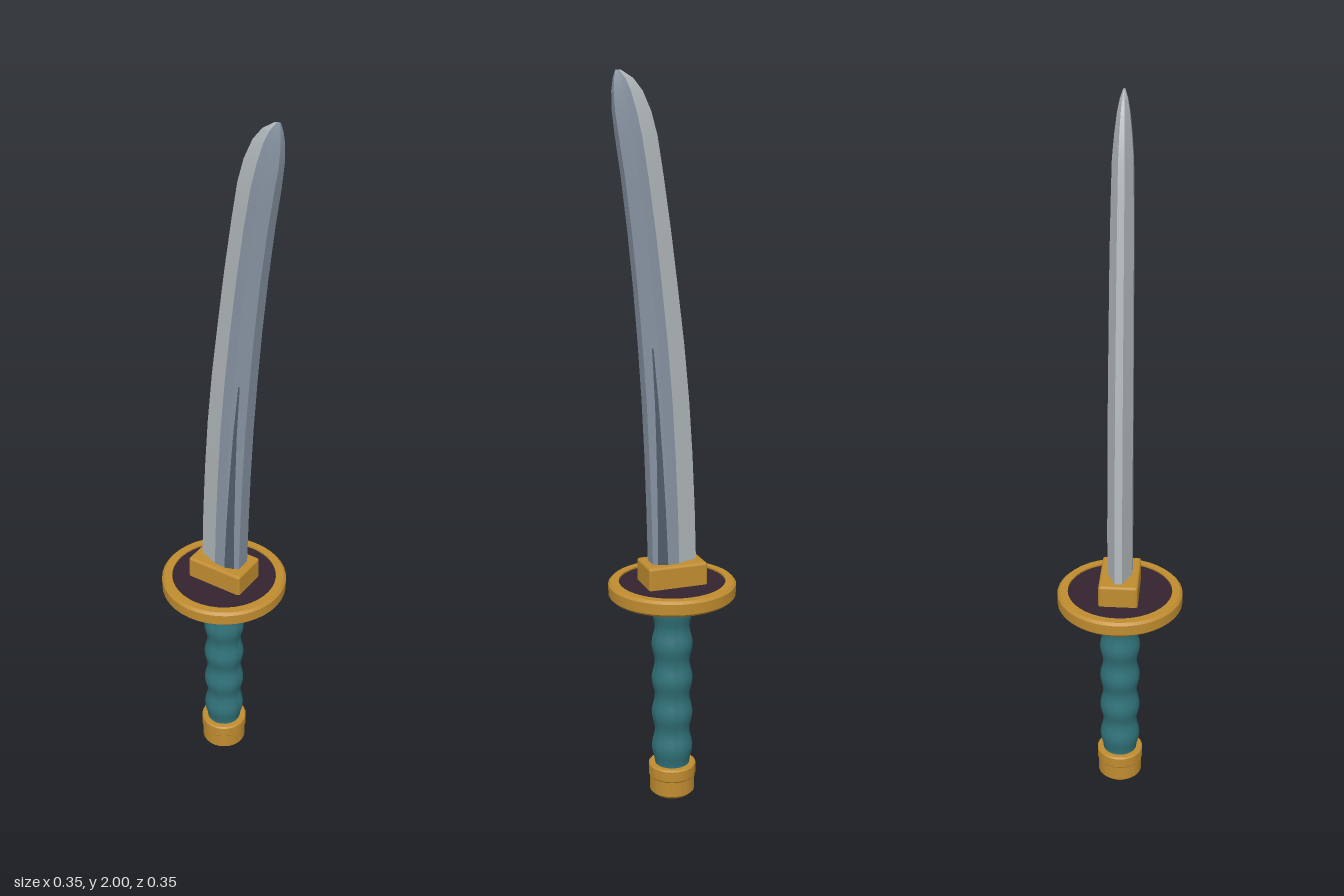
import * as THREE from 'three';
import { RoundedBoxGeometry } from 'three/addons/geometries/RoundedBoxGeometry.js';
import { toCreasedNormals } from 'three/addons/utils/BufferGeometryUtils.js';

const mat = (name, color) => {
  const m = new THREE.MeshStandardMaterial({ color });
  m.name = name;
  return m;
};

// Blade stations: height, cutting edge x, spine x, half thickness
const STATIONS = [
  [0.68, -0.067, 0.063, 0.035], [0.85, -0.062, 0.067, 0.035], [1.0, -0.055, 0.072, 0.034],
  [1.15, -0.045, 0.079, 0.034], [1.3, -0.031, 0.089, 0.033], [1.45, -0.013, 0.101, 0.032],
  [1.6, 0.006, 0.116, 0.031], [1.74, 0.026, 0.133, 0.029], [1.84, 0.042, 0.148, 0.027],
  [1.9, 0.058, 0.156, 0.022], [1.95, 0.08, 0.158, 0.016], [1.98, 0.104, 0.155, 0.01],
  [2.0, 0.136, 0.15, 0.003],
];
// Cross-section around the blade: fraction from edge to spine, fraction of thickness
const SECTION = [[0, -0.3], [0, 0.3], [0.45, 1], [0.68, 1], [1, 0.62], [1, -0.62], [0.68, -1], [0.45, -1]];
const BEVELS = [0, 1, 7];

function meshFrom(name, positions, material) {
  const g = new THREE.BufferGeometry();
  g.setAttribute('position', new THREE.Float32BufferAttribute(positions, 3));
  g.computeVertexNormals();
  const mesh = new THREE.Mesh(toCreasedNormals(g, 0.22), material);
  mesh.name = name;
  return mesh;
}

const sectionPoint = ([y, e, s, h], [u, w]) => [e + (s - e) * u, y, h * w];
const quad = (out, a, b, c, d) => out.push(...a, ...b, ...c, ...a, ...c, ...d);

function makeBlade(edgeMat, steelMat, grooveMat) {
  const blade = new THREE.Group();
  blade.name = 'blade';
  const edge = [], body = [];
  for (let i = 0; i < STATIONS.length - 1; i++) {
    for (let j = 0; j < SECTION.length; j++) {
      const k = (j + 1) % SECTION.length;
      quad(BEVELS.includes(j) ? edge : body,
        sectionPoint(STATIONS[i], SECTION[j]), sectionPoint(STATIONS[i], SECTION[k]),
        sectionPoint(STATIONS[i + 1], SECTION[k]), sectionPoint(STATIONS[i + 1], SECTION[j]));
    }
  }
  // Tiny cap closing the tip
  const tip = STATIONS[STATIONS.length - 1];
  for (let j = 1; j < SECTION.length - 1; j++) {
    body.push(...sectionPoint(tip, SECTION[0]), ...sectionPoint(tip, SECTION[j]), ...sectionPoint(tip, SECTION[j + 1]));
  }
  blade.add(meshFrom('cuttingBevel', edge, edgeMat), meshFrom('bladeBody', body, steelMat));

  // Dark tapering groove strips on both sides of the spine
  const low = STATIONS.filter((s) => s[0] <= 1.3);
  for (const side of [1, -1]) {
    const strip = [];
    const at = (s, u) => {
      const w = 1 - (u - 0.68) / 0.32 * 0.38;
      const p = sectionPoint(s, [u, w]);
      p[2] = side * (p[2] + 0.002);
      return p;
    };
    const width = (i) => 0.09 * (1 - i / (low.length - 1)) + 0.015;
    for (let i = 0; i < low.length - 1; i++) {
      const a = at(low[i], 0.8 - width(i)), b = at(low[i], 0.8 + width(i));
      const c = at(low[i + 1], 0.8 + width(i + 1)), d = at(low[i + 1], 0.8 - width(i + 1));
      if (side > 0) quad(strip, a, b, c, d);
      else quad(strip, b, a, d, c);
    }
    blade.add(meshFrom(side > 0 ? 'frontGroove' : 'backGroove', strip, grooveMat));
  }
  return blade;
}

function makeLathe(name, profile, material, crease = 0.5) {
  const g = new THREE.LatheGeometry(profile.map(([r, y]) => new THREE.Vector2(r, y)), 40);
  const mesh = new THREE.Mesh(toCreasedNormals(g, crease), material);
  mesh.name = name;
  return mesh;
}

export function createModel() {
  const gold = mat('gold', 0xc08c30);
  const teal = mat('teal wrap', 0x307178);
  const dark = mat('dark inlay', 0x33232f);
  const edge = mat('polished edge', 0xb4babd);
  const steel = mat('blue steel', 0x8592a0);
  const groove = mat('groove steel', 0x4e5b68);

  const sword = new THREE.Group();
  sword.name = 'sword';
  sword.add(makeBlade(edge, steel, groove));

  // Rectangular collar at the blade root
  const collar = new THREE.Mesh(new RoundedBoxGeometry(0.17, 0.075, 0.11, 2, 0.008), gold);
  collar.name = 'bladeCollar';
  collar.position.y = 0.6625;
  sword.add(collar);

  // Round guard: gold rim with dark inlays slightly sunk in both faces
  sword.add(makeLathe('guardRim', [
    [0.148, 0.606], [0.148, 0.598], [0.17, 0.598], [0.177, 0.605], [0.177, 0.635],
    [0.17, 0.642], [0.148, 0.642], [0.148, 0.634],
  ], gold));
  sword.add(makeLathe('guardInlay', [[0, 0.604], [0.149, 0.604], [0.149, 0.637], [0, 0.637]], dark));
  sword.add(makeLathe('gripRing', [[0, 0.592], [0.066, 0.592], [0.066, 0.606], [0, 0.606]], gold));

  // Wrapped grip with a rippled outline
  const ripple = [];
  for (let i = 0; i <= 40; i++) {
    const t = i / 40;
    ripple.push([0.0535 + 0.0045 * Math.cos(t * Math.PI * 2 * 5 + Math.PI * 0.8), 0.08 + t * 0.52]);
  }
  sword.add(makeLathe('grip', ripple, teal, 0.6));

  // Pommel cap with a shallow band line
  sword.add(makeLathe('pommel', [
    [0, 0], [0.054, 0], [0.064, 0.01], [0.064, 0.054], [0.067, 0.058],
    [0.067, 0.088], [0.063, 0.092], [0, 0.092],
  ], gold));

  return sword;
}
